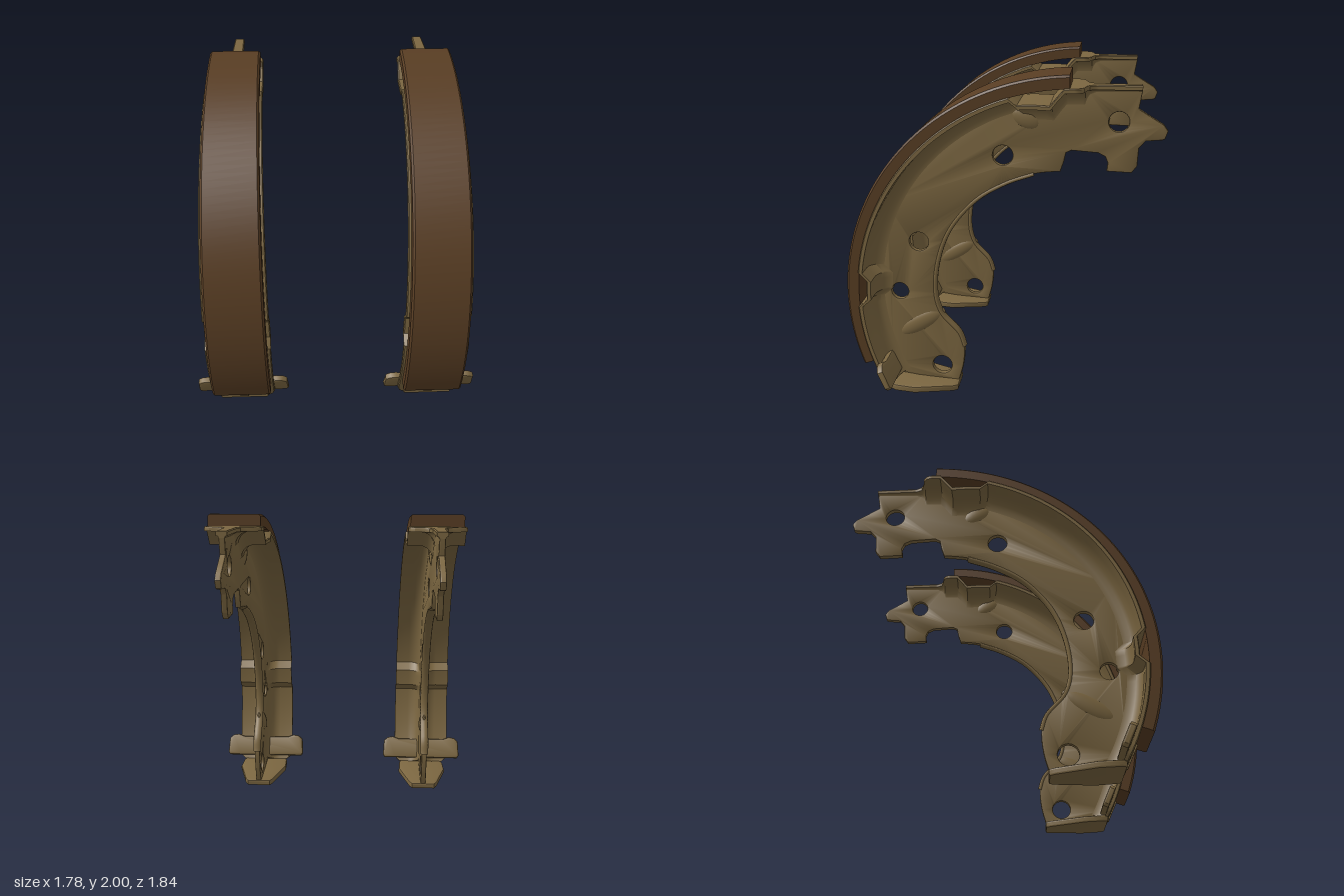
import * as THREE from 'three';
import { toCreasedNormals } from 'three/addons/utils/BufferGeometryUtils.js';

const CZ = -0.42, CY = 0.66, R = 1.27; // arc centre and table radius in the z-y plane
const steel = new THREE.MeshStandardMaterial({ color: 0x7c6741 });
steel.name = 'khaki steel';
const friction = new THREE.MeshStandardMaterial({ color: 0x583d23 });
friction.name = 'brown friction';

// concave inner edge of the web, [z, y] from top to foot
const INNER = [[-0.33, 1.43], [-0.18, 1.41], [-0.02, 1.35], [0.16, 1.24], [0.32, 1.05], [0.4, 0.84],
  [0.42, 0.63], [0.385, 0.5], [0.275, 0.37], [0.245, 0.28], [0.255, 0.15], [0.29, 0.02]];

// piecewise linear lookup in a list of [s, value]
function lerpList(list, s) {
  if (s <= list[0][0]) return list[0][1];
  for (let i = 1; i < list.length; i++) {
    const [a, va] = list[i - 1], [b, vb] = list[i];
    if (s <= b) return va + (vb - va) * (s - a) / (b - a);
  }
  return list[list.length - 1][1];
}

// table half-width and inward dents by angle in degrees
const WIDTH = [[-28.7, 0.16], [-27.5, 0.188], [-25.5, 0.2], [0, 0.198], [60, 0.18], [90, 0.171], [91, 0.16],
  [91.8, 0.135], [92.2, 0.085], [92.9, 0.055], [94.5, 0.037], [105.8, 0.031]];
const DENT = [[-2.7, 0], [-0.5, 0.055], [5, 0.055], [7.2, 0], [73, 0], [74.7, 0.052], [83, 0.086], [87, 0]];

// [z, y] at angle s and radius r; beyond 90 degrees the path runs straight back
function at(s, r) {
  const a = Math.min(s, 90) * Math.PI / 180;
  const run = Math.max(s - 90, 0) * Math.PI / 180 * R;
  return [CZ + r * Math.cos(a) - run, CY + r * Math.sin(a)];
}

function stations(from, to, step) {
  const set = new Set([from, to]);
  for (let s = from; s < to; s += step) set.add(s);
  [...WIDTH, ...DENT].forEach(([s]) => { if (s > from && s < to) set.add(s); });
  return [...set].sort((a, b) => a - b);
}

// sweep a counterclockwise [x, radius] section along the arc, with end caps
function loft(list, section) {
  const pos = [], rings = list.map(section), n = rings[0].length;
  const put = (i, j) => {
    const [x, r] = rings[i][j % n], [z, y] = at(list[i], r);
    pos.push(x, y, z);
  };
  for (let i = 0; i < list.length - 1; i++)
    for (let j = 0; j < n; j++) {
      put(i, j); put(i + 1, j); put(i, j + 1);
      put(i + 1, j); put(i + 1, j + 1); put(i, j + 1);
    }
  const last = list.length - 1;
  for (const i of [0, last]) {
    const pts = rings[i].map(([x, r]) => new THREE.Vector2(x, r));
    for (const [a, b, c] of THREE.ShapeUtils.triangulateShape(pts, []))
      (i === 0 ? [a, b, c] : [a, c, b]).forEach(j => put(i, j));
  }
  const g = new THREE.BufferGeometry();
  g.setAttribute('position', new THREE.Float32BufferAttribute(pos, 3));
  return toCreasedNormals(g, 0.6);
}

// curved table with fillets running into the web
function tableSection(s) {
  const w = lerpList(WIDTH, s), r = R - lerpList(DENT, s), t = 0.026, h = 0.018;
  const f = Math.min(0.085, (w - h) * 0.8), left = [];
  for (let k = 0; k <= 5; k++) {
    const a = k / 5 * Math.PI / 2;
    left.push([-(h + f) + f * Math.sin(a), r - t - f + f * Math.cos(a)]);
  }
  const right = left.map(([x, y]) => [-x, y]).reverse();
  return [[w - 0.006, r], [-w + 0.006, r], [-w, r - 0.006], [-w, r - t], ...left, ...right, [w, r - t], [w, r - 0.006]];
}

// friction lining block with slightly eased outer edges
function liningSection(s) {
  const w = 0.182 - 0.024 * (s + 20) / 108, o = 1.34, i = 1.266, b = 0.012;
  return [[w - b, o], [-w + b, o], [-w, o - b], [-w, i], [w, i], [w, o - b]];
}

function extrude(shape, thick, bevel) {
  const g = new THREE.ExtrudeGeometry(shape, {
    depth: thick - 2 * bevel, bevelThickness: bevel, bevelSize: bevel, bevelOffset: -bevel,
    bevelSegments: 2, curveSegments: 20
  });
  g.translate(0, 0, bevel - thick / 2);
  return toCreasedNormals(g, 0.7);
}

const toVectors = list => list.map(([a, b]) => new THREE.Vector2(a, b));

// flat web plate, drawn in z-y
function webGeometry() {
  const outer = stations(-28, 105.3, 3).map(s => at(s, R - 0.02 - lerpList(DENT, s)));
  const shape = new THREE.Shape(toVectors(outer));
  [[-0.77, 1.895], [-0.755, 1.8], [-0.82, 1.76], [-0.895, 1.715], [-0.92, 1.68], [-0.905, 1.635], [-0.89, 1.628],
    [-0.8, 1.62], [-0.765, 1.58], [-0.76, 1.475], [-0.73, 1.435], [-0.59, 1.44], [-0.595, 1.49], [-0.58, 1.525],
    [-0.54, 1.545], [-0.39, 1.555], [-0.36, 1.54], [-0.35, 1.49], INNER[0]].forEach(p => shape.lineTo(...p));
  shape.splineThru(toVectors(INNER.slice(1)));
  for (const [z, y, r] of [[-0.65, 1.725, 0.057], [0, 1.515, 0.058], [0.51, 0.965, 0.058],
    [0.64, 0.635, 0.052], [0.39, 0.14, 0.06]]) {
    const hole = new THREE.Path();
    hole.absarc(z, y, r, 0, Math.PI * 2, true);
    shape.holes.push(hole);
  }
  return extrude(shape, 0.036, 0.008).rotateY(-Math.PI / 2);
}

// rounded lip along the inner edge, flattened into the web
function lipGeometry() {
  const path = new THREE.CatmullRomCurve3(INNER.slice(1, 10).map(([z, y]) => new THREE.Vector3(0, y, z)));
  return new THREE.TubeGeometry(path, 60, 0.014, 10).scale(2, 1, 1);
}

// plan of the foot, wide at the front and narrow at the back
function footGeometry() {
  const half = [[0.15, 0.69], [0.165, 0.66], [0.17, 0.54], [0.1, 0.31], [0.08, 0.28]];
  const mirrored = half.map(([x, z]) => [-x, z]).reverse();
  return extrude(new THREE.Shape(toVectors([...half, ...mirrored])), 0.042, 0.012).rotateX(Math.PI / 2);
}

// cross strip forming the two side ears
function earGeometry() {
  const half = [[0.17, 0.065], [0.215, 0.082], [0.255, 0.075], [0.283, 0.05], [0.29, -0.06], [0.275, -0.078], [0.2, -0.078]];
  const mirrored = half.map(([x, y]) => [-x, y]).reverse();
  return extrude(new THREE.Shape(toVectors([...half, ...mirrored])), 0.042, 0.012);
}

function createShoe() {
  const shoe = new THREE.Group();
  const add = (name, geometry, material = steel) => {
    const mesh = new THREE.Mesh(geometry, material);
    mesh.name = name;
    shoe.add(mesh);
    return mesh;
  };
  add('lining', loft(stations(-19.6, 88.3, 2), liningSection), friction);
  add('table', loft(stations(-28.7, 105.8, 2), tableSection));
  add('web', webGeometry());
  add('innerLip', lipGeometry());

  const foot = add('foot', footGeometry());
  foot.position.y = 0.006;
  foot.rotation.x = -0.055;

  // parts lying tangent to the table near its lower end
  const lay = (mesh, s, r) => {
    const [z, y] = at(s, r);
    mesh.position.set(0, y, z);
    mesh.rotation.x = -s * Math.PI / 180;
  };
  lay(add('ears', earGeometry()), -23.9, 1.222);
  lay(add('frontRib', new THREE.BoxGeometry(0.055, 0.14, 0.02)), -24.8, 1.267);

  // pressed swellings on both faces of the web
  for (const [z, y, long, wide, tilt] of [[0.52, 0.425, 0.18, 0.06, 0.55], [-0.13, 1.73, 0.1, 0.06, -0.5]]) {
    const swell = add('webSwelling', new THREE.SphereGeometry(1, 20, 12));
    swell.scale.set(0.03, wide, long);
    swell.position.set(0, y, z);
    swell.rotation.x = tilt;
  }
  return shoe;
}

export function createModel() {
  const model = new THREE.Group();
  model.name = 'brakeShoes';
  for (const [name, x] of [['leftShoe', 0.6], ['rightShoe', -0.6]]) {
    const shoe = createShoe();
    shoe.name = name;
    shoe.position.x = x;
    model.add(shoe);
  }
  return model;
}
